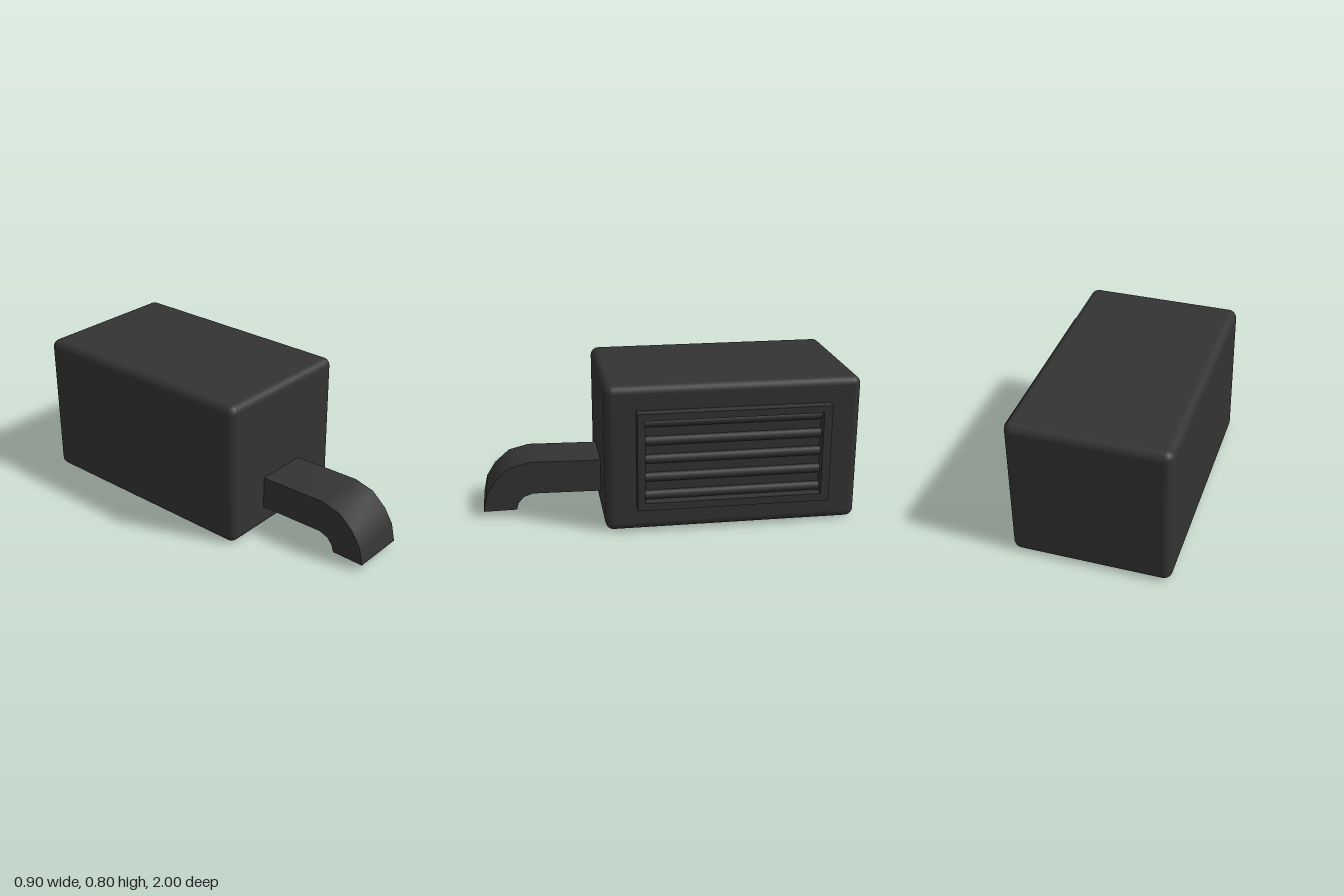
import * as THREE from 'three';
import { toCreasedNormals } from 'three/addons/utils/BufferGeometryUtils.js';
import { RoundedBoxGeometry } from 'three/addons/geometries/RoundedBoxGeometry.js';

export function createModel() {
  const group = new THREE.Group();
  const charcoal = new THREE.MeshStandardMaterial({ color: 0x333333 });
  charcoal.name = 'charcoal';

  const add = (name, geometry, x, y, z) => {
    const mesh = new THREE.Mesh(geometry, charcoal);
    mesh.name = name;
    mesh.position.set(x, y, z);
    group.add(mesh);
  };

  // Extrude a side profile (z, y) towards -x
  const extrudeSide = (shape, depth) => {
    const g = new THREE.ExtrudeGeometry(shape, { depth, bevelEnabled: false });
    g.rotateY(-Math.PI / 2);
    return toCreasedNormals(g, 0.65);
  };
  const rect = (z0, y0, z1, y1) =>
    [[z0, y0], [z1, y0], [z1, y1], [z0, y1]].map(([z, y]) => new THREE.Vector2(z, y));

  // Rounded housing
  add('housing', new RoundedBoxGeometry(0.838, 0.798, 1.358, 5, 0.045), -0.031, 0.4, -0.321);

  // Outlet duct bending down in front
  const duct = [
    [0.33, 0.12], [0.73, 0.126], [0.78, 0.108], [0.81, 0.073], [0.82, 0.036],
    [1.0, 0.034], [0.98, 0.13], [0.93, 0.21], [0.85, 0.28], [0.74, 0.308], [0.33, 0.3],
  ].map(([z, y]) => new THREE.Vector2(z, y));
  add('outletDuct', extrudeSide(new THREE.Shape(duct), 0.295), 0.1, 0, 0);

  // Vent frame on the left side
  const frame = new THREE.Shape(rect(-0.83, 0.137, 0.195, 0.668));
  frame.holes.push(new THREE.Path(rect(-0.785, 0.178, 0.155, 0.63)));
  add('ventFrame', extrudeSide(frame, 0.065), 0.448, 0, 0);

  // Rounded vent slats half sunk into the housing
  for (let i = 0; i < 5; i++) {
    const slat = new THREE.CylinderGeometry(0.025, 0.025, 0.94, 16);
    slat.rotateX(Math.PI / 2);
    add('ventSlat', slat, 0.388, 0.204 + i * 0.1, -0.315);
  }
  return group;
}
